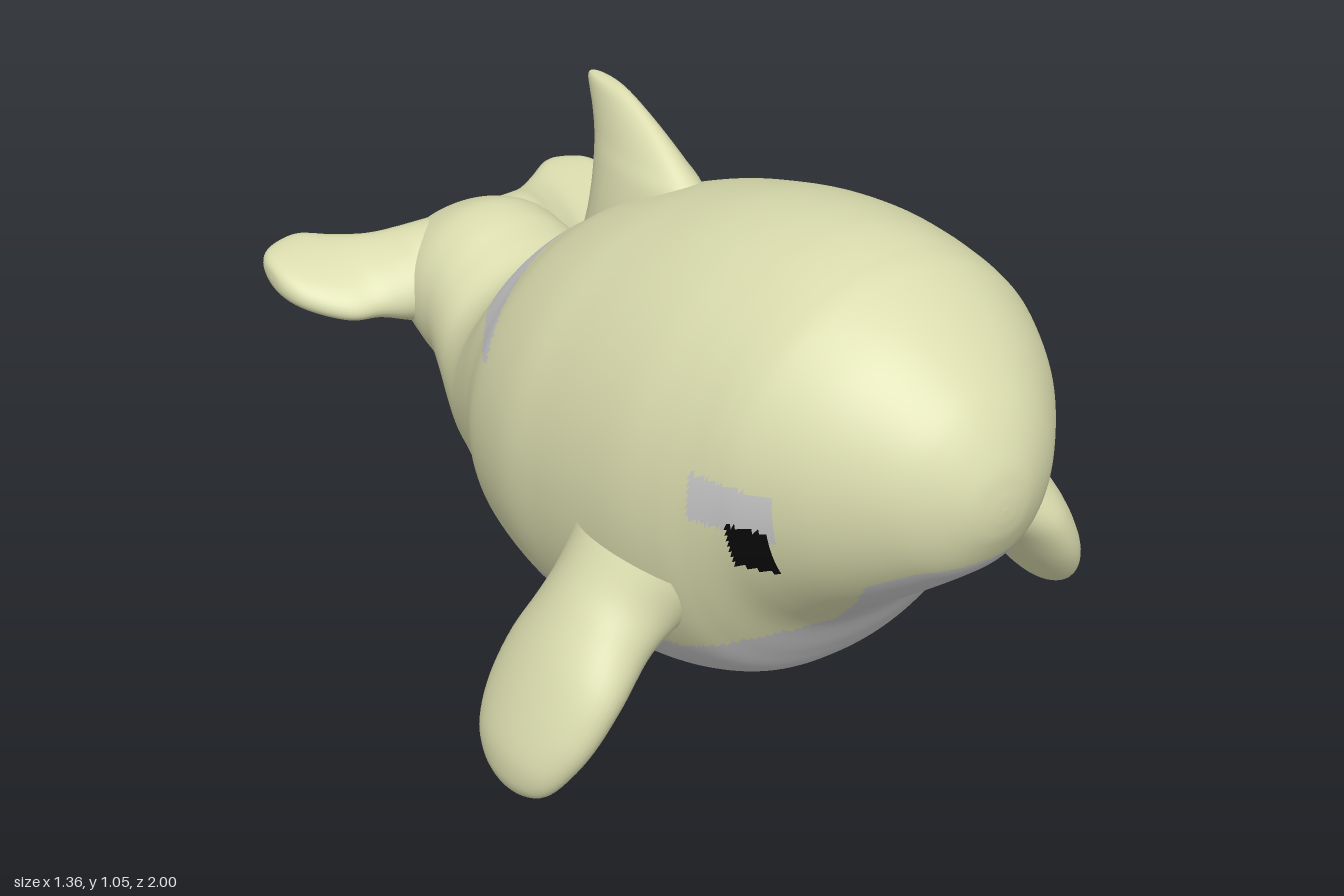
import * as THREE from 'three';

const SKIN = 0xdadcae, PALE = 0xcccccc, BLACK = 0x0a0a0a;

const material = (color) => new THREE.MeshStandardMaterial({ color });

// Smooth loft through rows [x, y, z, a, b]: each ring is centre + u*a*cos + v*b*sin,
// with u x v pointing along the direction of travel. flat < 1 squares off the v side.
function loft(rows, u, v, rings, sides, flat = 1) {
  const curve = (f) => new THREE.CatmullRomCurve3(rows.map(f), false, 'catmullrom', 0.5);
  const centres = curve((r) => new THREE.Vector3(r[0], r[1], r[2]));
  const radii = curve((r) => new THREE.Vector3(r[3], r[4], 0));
  const positions = [], index = [];
  for (let i = 0; i <= rings; i++) {
    const c = centres.getPoint(i / rings), r = radii.getPoint(i / rings);
    const a = Math.max(r.x, 0), b = Math.max(r.y, 0);
    for (let j = 0; j < sides; j++) {
      const t = (j / sides) * Math.PI * 2, cos = Math.cos(t), sin = Math.sin(t);
      const cu = sin > 0 ? Math.sign(cos) * Math.abs(cos) ** flat : cos;
      const p = c.clone().addScaledVector(u, a * cu).addScaledVector(v, b * sin);
      positions.push(p.x, p.y, p.z);
      if (i === rings) continue;
      const k = i * sides + j, n = i * sides + ((j + 1) % sides);
      index.push(k, n, k + sides, n, n + sides, k + sides);
    }
  }
  const g = new THREE.BufferGeometry();
  g.setAttribute('position', new THREE.Float32BufferAttribute(positions, 3));
  g.setIndex(index);
  g.computeVertexNormals();
  return g;
}

// Straight-line interpolation through [position, value] pairs in rising order
function lerpTable(table, p) {
  if (p <= table[0][0]) return table[0][1];
  for (let i = 1; i < table.length; i++) {
    const [p0, v0] = table[i - 1], [p1, v1] = table[i];
    if (p <= p1) return v0 + ((v1 - v0) * (p - p0)) / (p1 - p0);
  }
  return table[table.length - 1][1];
}

// Upper edge of the pale belly, along z
const bellyLeft = [[-0.37, 0.24], [-0.2, 0.27], [-0.05, 0.24], [0.25, 0.2], [0.45, 0.28],
  [0.54, 0.33], [0.58, 0.5], [0.84, 0.51], [0.92, 0.57], [1, 0.59]];
const bellyRight = [[-0.37, 0.24], [-0.2, 0.27], [-0.05, 0.24], [0.25, 0.2], [0.5, 0.25],
  [0.66, 0.32], [0.78, 0.44], [0.84, 0.52], [0.92, 0.57], [1, 0.59]];

// Marking at a point on the body
function markingAt(x, y, z) {
  const inside = (z0, z1, y0, y1) => z > z0 && z < z1 && y > y0 && y < y1;
  const drop = x > 0 ? 0 : 0.04;
  if (inside(0.665, 0.735, 0.57 - drop, 0.665 - drop)) return 'eyes';
  if (inside(0.59, 0.745, 0.65 - drop, 0.745 - drop)) return 'eyePatches';
  if (z > -0.37 && y < lerpTable(x > 0 ? bellyLeft : bellyRight, z)) return 'belly';
  const saddle = -0.35 + 1.1 * x * x;
  if (y > 0.6 && z > saddle && z < saddle + 0.1) return 'saddlePatch';
  return 'back';
}

// Body: one smooth skin, divided into meshes by marking
function makeBody() {
  // [z, top, bottom, half width]
  const profile = [
    [1, 0.7, 0.7, 0], [0.997, 0.735, 0.667, 0.034], [0.985, 0.785, 0.625, 0.076],
    [0.95, 0.85, 0.56, 0.137], [0.9, 0.905, 0.51, 0.195], [0.8, 0.98, 0.425, 0.282],
    [0.7, 1.03, 0.345, 0.343], [0.64, 1.045, 0.285, 0.37], [0.58, 1.053, 0.19, 0.392],
    [0.52, 1.054, 0.115, 0.412], [0.42, 1.045, 0.06, 0.435], [0.3, 1.022, 0.02, 0.446],
    [0.18, 0.985, 0.004, 0.45], [0.05, 0.935, 0.008, 0.45], [-0.1, 0.86, 0.025, 0.418],
    [-0.2, 0.79, 0.045, 0.372], [-0.28, 0.73, 0.06, 0.338], [-0.35, 0.65, 0.078, 0.31],
    [-0.42, 0.572, 0.092, 0.282], [-0.5, 0.54, 0.115, 0.25], [-0.58, 0.558, 0.152, 0.222],
    [-0.65, 0.58, 0.188, 0.203], [-0.72, 0.583, 0.21, 0.198], [-0.79, 0.56, 0.242, 0.185],
    [-0.85, 0.525, 0.32, 0.155], [-0.89, 0.48, 0.375, 0.09], [-0.905, 0.43, 0.43, 0],
  ];
  const rows = profile.map(([z, t, b, w]) => [0, (t + b) / 2, z, w, (t - b) / 2]);
  const g = loft(rows, new THREE.Vector3(1, 0, 0), new THREE.Vector3(0, -1, 0), 208, 176, 0.9);
  const pos = g.attributes.position, idx = g.index.array;
  const parts = { back: [], belly: [], saddlePatch: [], eyePatches: [], eyes: [] };
  for (let f = 0; f < idx.length; f += 3) {
    const tri = [idx[f], idx[f + 1], idx[f + 2]];
    const mean = (get) => tri.reduce((s, i) => s + get(i), 0) / 3;
    const name = markingAt(mean((i) => pos.getX(i)), mean((i) => pos.getY(i)), mean((i) => pos.getZ(i)));
    parts[name].push(...tri);
  }
  const body = new THREE.Group();
  body.name = 'body';
  for (const [name, list] of Object.entries(parts)) {
    const part = new THREE.BufferGeometry();
    part.setAttribute('position', pos);
    part.setAttribute('normal', g.attributes.normal);
    part.setIndex(list);
    const color = name === 'back' ? SKIN : name === 'eyes' ? BLACK : PALE;
    const mesh = new THREE.Mesh(part, material(color));
    mesh.name = name;
    body.add(mesh);
  }
  return body;
}

export function createModel() {
  const model = new THREE.Group();
  model.name = 'whale';
  const skin = material(SKIN);
  const add = (name, geometry) => {
    const mesh = new THREE.Mesh(geometry, skin);
    mesh.name = name;
    model.add(mesh);
  };
  model.add(makeBody());

  // Flippers, angled down and outwards
  const flipper = [
    [0.34, 0.41, 0.4, 0.15, 0.15], [0.4, 0.36, 0.4, 0.125, 0.135], [0.46, 0.315, 0.405, 0.1, 0.138],
    [0.53, 0.24, 0.41, 0.082, 0.158], [0.585, 0.155, 0.405, 0.073, 0.155], [0.625, 0.085, 0.4, 0.062, 0.13],
    [0.645, 0.04, 0.4, 0.045, 0.095], [0.654, 0.016, 0.4, 0.025, 0.05], [0.658, 0.006, 0.4, 0, 0],
  ];
  for (const [name, s] of [['leftFlipper', 1], ['rightFlipper', -1]]) {
    const rows = flipper.map(([x, ...rest]) => [s * x, ...rest]);
    add(name, loft(rows, new THREE.Vector3(0.83 * s, 0.55, 0), new THREE.Vector3(0, 0, s), 40, 40));
  }

  // Dorsal fin: [y, front z, rear z, half thickness]
  const dorsal = [
    [0.68, 0.0, -0.31, 0.1], [0.76, 0.03, -0.272, 0.095], [0.84, 0.06, -0.258, 0.085],
    [0.91, 0.07, -0.262, 0.068], [0.95, 0.025, -0.27, 0.052], [0.99, -0.04, -0.283, 0.038],
    [1.02, -0.1, -0.296, 0.028], [1.042, -0.155, -0.303, 0.02], [1.052, -0.195, -0.29, 0.012],
    [1.055, -0.24, -0.24, 0],
  ].map(([y, f, r, t]) => [0, y, (f + r) / 2, (f - r) / 2, t]);
  add('dorsalFin', loft(dorsal, new THREE.Vector3(0, 0, 1), new THREE.Vector3(1, 0, 0), 40, 40));

  // Tail flukes: one blade swept from tip to tip, tilted up at the rear
  const half = [
    [0.05, 0.415, -0.8, 0.12, 0.1], [0.14, 0.415, -0.8, 0.11, 0.11], [0.2, 0.42, -0.815, 0.078, 0.117],
    [0.26, 0.425, -0.847, 0.056, 0.122], [0.32, 0.43, -0.872, 0.048, 0.134], [0.37, 0.435, -0.888, 0.042, 0.115],
    [0.41, 0.44, -0.9, 0.035, 0.083], [0.43, 0.443, -0.907, 0.022, 0.045], [0.435, 0.444, -0.91, 0, 0],
  ];
  const flukes = [...half.map(([x, ...rest]) => [-x, ...rest]).reverse(), ...half];
  add('tailFlukes', loft(flukes, new THREE.Vector3(0, 0.94, 0.34), new THREE.Vector3(0, -0.34, 0.94), 80, 40));

  return model;
}
